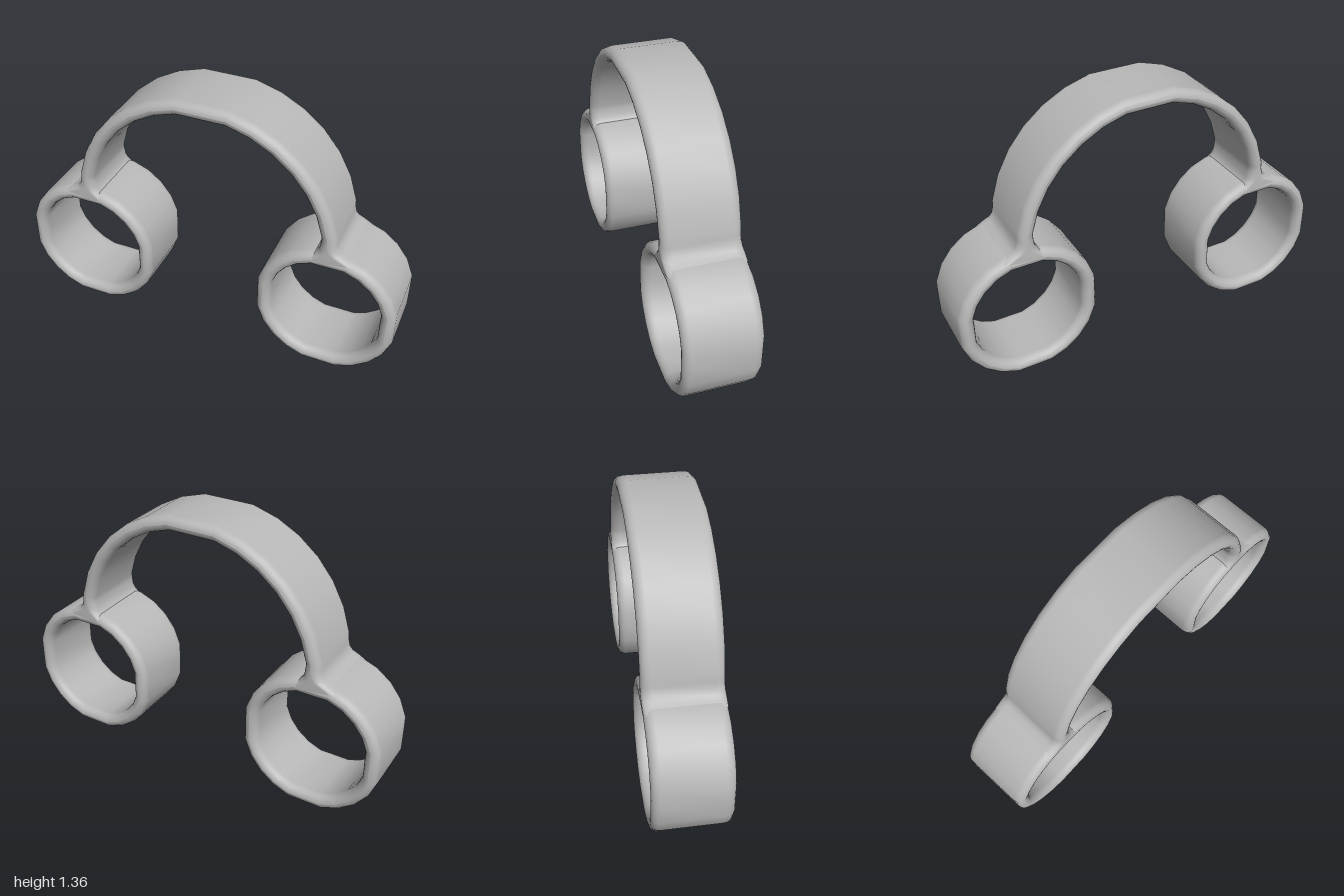
import * as THREE from 'three';

const HALF = 0.0375;   // half the band thickness
const DEPTH = 0.19;    // half the band depth
const ROUND = 0.045;   // rounding of the rim along z

// Cross-section of the strap: [across thickness, along z], with rounded rims
function section(half) {
  const pts = [], steps = 5;
  for (let q = 0; q < 4; q++) {
    const sn = q === 0 || q === 3 ? 1 : -1, sz = q < 2 ? 1 : -1;
    for (let k = 0; k <= steps; k++) {
      const a = (q + k / steps) * Math.PI / 2;
      pts.push([sn * (half - HALF) + HALF * Math.cos(a), sz * (DEPTH - ROUND) + ROUND * Math.sin(a)]);
    }
  }
  return pts;
}

// Sweep the section along points [x, y, half thickness] in the xy plane
function sweep(path, closed) {
  const n = path.length, pos = [], index = [];
  const at = i => path[closed ? (i + n) % n : Math.min(Math.max(i, 0), n - 1)];
  const m = section(HALF).length;
  for (let i = 0; i < n; i++) {
    const [x, y, half = HALF] = path[i];
    const t = new THREE.Vector2(at(i + 1)[0] - at(i - 1)[0], at(i + 1)[1] - at(i - 1)[1]).normalize();
    for (const [d, z] of section(half)) pos.push(x + t.y * d, y - t.x * d, z);
  }
  for (let i = 0; i < (closed ? n : n - 1); i++) {
    for (let j = 0; j < m; j++) {
      const i2 = (i + 1) % n, j2 = (j + 1) % m;
      const a = i * m + j, b = i2 * m + j, c = i2 * m + j2, d = i * m + j2;
      index.push(a, b, c, a, c, d);
    }
  }
  const g = new THREE.BufferGeometry();
  g.setAttribute('position', new THREE.Float32BufferAttribute(pos, 3));
  g.setIndex(index);
  g.computeVertexNormals();
  return g;
}

export function createModel() {
  const group = new THREE.Group();
  const grey = new THREE.MeshStandardMaterial({ color: 0xb8b8b8 });
  grey.name = 'plain grey';
  const add = (name, geometry) => {
    const mesh = new THREE.Mesh(geometry, grey);
    mesh.name = name;
    group.add(mesh);
    return mesh;
  };

  // Two rings, slightly flattened at top, bottom and sides
  const flat = 0.3145, r = 0.327, ring = [];
  for (let i = 0; i < 24; i++) {
    const a = i * Math.PI / 12;
    ring.push([
      THREE.MathUtils.clamp(r * Math.cos(a), -flat, flat),
      THREE.MathUtils.clamp(r * Math.sin(a), -flat, flat),
    ]);
  }
  const ringGeometry = sweep(ring, true);
  for (const [name, side] of [['leftRing', 1], ['rightRing', -1]]) {
    add(name, ringGeometry).position.set(side * 0.648, 0.352, 0);
  }

  // Arched band whose feet flare out into the rings
  const foot = [
    [0.648, 0.67, 0.125], [0.645, 0.695, 0.09], [0.643, 0.712, 0.063],
    [0.641, 0.735, 0.046], [0.6385, 0.77, 0.039],
  ];
  const arch = [...foot];
  for (let i = 1; i < 16; i++) {
    const a = i * Math.PI / 16;
    arch.push([0.65 * Math.cos(a), 0.68 + Math.min(0.65 * Math.sin(a), 0.6375)]);
  }
  arch.push(...foot.map(([x, y, h]) => [-x, y, h]).reverse());
  add('archBand', sweep(arch, false));

  return group;
}
